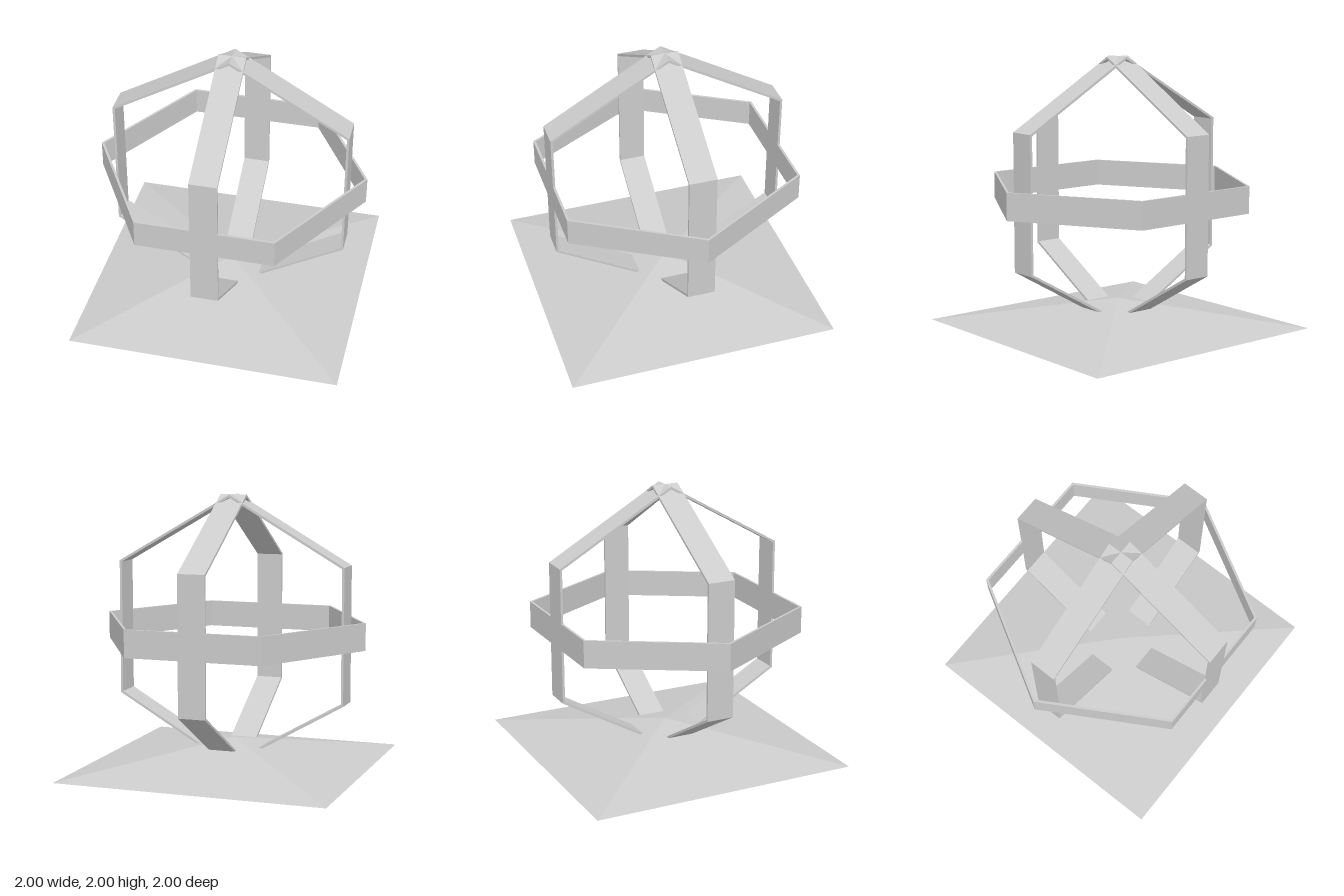
import * as THREE from 'three';

const material = new THREE.MeshStandardMaterial({ color: 0xcccccc, flatShading: true, side: THREE.DoubleSide });

// Hexagon corners with a point straight up
function hexagon(radius) {
  return Array.from({ length: 6 }, (_, i) => {
    const a = Math.PI / 2 + i * Math.PI / 3;
    return new THREE.Vector2(radius * Math.cos(a), radius * Math.sin(a));
  });
}

// Thin hexagonal band lying in the xy plane, centred on the origin
function bandGeometry(radius, thickness, width) {
  const shape = new THREE.Shape(hexagon(radius));
  shape.holes.push(new THREE.Path(hexagon(radius - thickness)));
  return new THREE.ExtrudeGeometry(shape, { depth: width, bevelEnabled: false }).translate(0, 0, -width / 2);
}

export function createModel() {
  const model = new THREE.Group();
  model.name = 'ringSphereOnBase';

  function add(name, geometry, y) {
    const mesh = new THREE.Mesh(geometry, material);
    mesh.name = name;
    mesh.position.y = y;
    model.add(mesh);
  }

  // Low pyramid, open underneath
  add('base', new THREE.ConeGeometry(Math.SQRT2, 0.2, 4, 1, true).rotateY(Math.PI / 4), 0.1);

  // Three bands at right angles to one another
  const band = bandGeometry(1, 0.02, 0.2);
  add('sideToSideRing', band, 1);
  add('frontToBackRing', band.clone().rotateY(Math.PI / 2), 1);
  add('horizontalRing', band.clone().rotateZ(Math.PI / 2).rotateX(Math.PI / 2), 1);

  return model;
}
